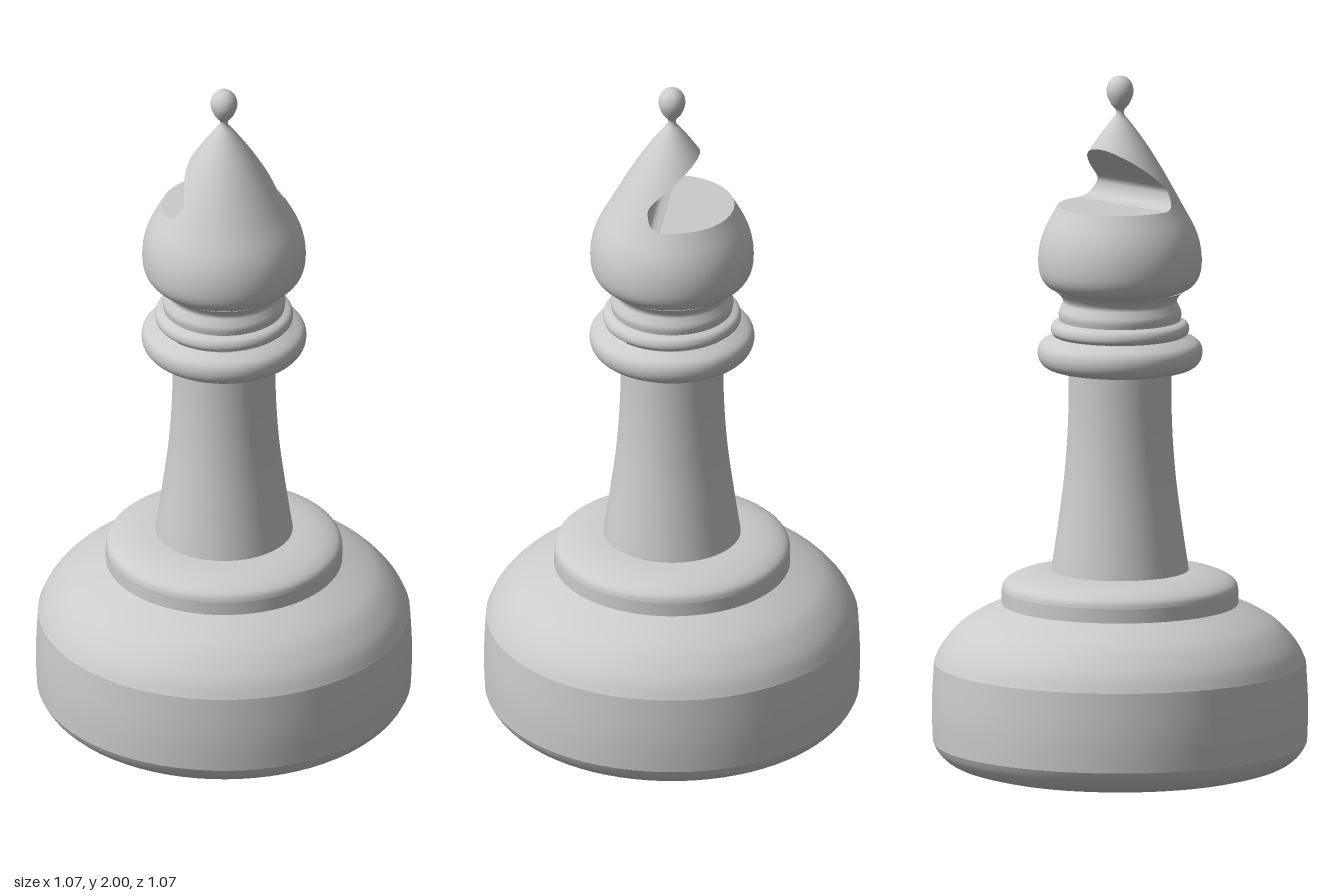
import * as THREE from 'three';
import { ParametricGeometry } from 'three/addons/geometries/ParametricGeometry.js';

const material = new THREE.MeshStandardMaterial({ color: 0xcccccc, side: THREE.DoubleSide });
const SEGMENTS = 72;

// Smooth curve through [radius, height] points
const smooth = (pts, n = 24) =>
  new THREE.SplineCurve(pts.map(([r, y]) => new THREE.Vector2(r, y))).getPoints(n)
    .map((p) => new THREE.Vector2(Math.max(p.x, 0), p.y));

export function createModel() {
  const model = new THREE.Group();
  const add = (name, geometry) => {
    const mesh = new THREE.Mesh(geometry, material);
    mesh.name = name;
    model.add(mesh);
  };
  const turn = (name, pts, n) => add(name, new THREE.LatheGeometry(smooth(pts, n), SEGMENTS));

  // Heavy base: separate lathes keep the creases sharp
  turn('baseUnderside', [[0, 0], [0.42, 0]], 2);
  turn('baseBevel', [[0.42, 0], [0.48, 0.018], [0.515, 0.045], [0.533, 0.075]], 10);
  turn('baseSide', [[0.533, 0.075], [0.536, 0.18], [0.53, 0.305]], 6);
  turn('baseShoulder', [[0.53, 0.305], [0.505, 0.355], [0.455, 0.41], [0.4, 0.445], [0.335, 0.475]]);

  // Stepped plinth
  turn('plinthSide', [[0.337, 0.47], [0.337, 0.515]], 2);
  turn('plinthTop', [[0.337, 0.515], [0.33, 0.535], [0.3, 0.553], [0.25, 0.566], [0.19, 0.572]], 16);

  // Tapered column
  turn('column', [[0.197, 0.565], [0.177, 0.7], [0.158, 0.85], [0.148, 1.0], [0.146, 1.15]]);

  // Collar and neck rings
  turn('collar', [[0.14, 1.148], [0.2, 1.155], [0.226, 1.172], [0.235, 1.2], [0.226, 1.228], [0.19, 1.25]], 30);
  turn('neckRing', [[0.185, 1.25], [0.195, 1.258], [0.197, 1.272], [0.19, 1.286], [0.172, 1.294]], 16);
  turn('neck', [[0.172, 1.292], [0.175, 1.315], [0.167, 1.335], [0.162, 1.35], [0.172, 1.368], [0.186, 1.38]], 20);

  // Head: one profile shared by the lower bowl, notched crown and tip
  const headProfile = smooth([[0.175, 1.378], [0.205, 1.392], [0.226, 1.42], [0.233, 1.46], [0.229, 1.51],
    [0.213, 1.56], [0.178, 1.625], [0.137, 1.7], [0.108, 1.75], [0.08, 1.795], [0.045, 1.845], [0.018, 1.88]], 90);
  const headRadius = (y) => {
    const i = Math.max(1, headProfile.findIndex((p) => p.y >= y));
    const a = headProfile[i - 1], b = headProfile[i];
    return THREE.MathUtils.mapLinear(y, a.y, b.y, a.x, b.x);
  };
  const headSlice = (name, y0, y1, n) => {
    const pts = Array.from({ length: n + 1 }, (_, i) => {
      const y = y0 + (y1 - y0) * i / n;
      return new THREE.Vector2(headRadius(y), y);
    });
    add(name, new THREE.LatheGeometry(pts, SEGMENTS));
  };
  const floorY = 1.625, lipY = 1.795;
  headSlice('headBowl', 1.378, floorY, 36);
  headSlice('headTip', lipY, 1.88, 14);
  turn('notchFloor', [[0.178, floorY], [0, floorY]], 2);

  // Slanted notch cut into the back: points are [z, y] of its inner wall
  const notch = new THREE.SplineCurve([[0.012, floorY], [0.038, 1.635], [0.05, 1.662], [0.044, 1.687],
    [0, 1.728], [-0.06, 1.778], [-0.08, lipY]].map(([z, y]) => new THREE.Vector2(z, y)));
  const section = (v) => {
    const { x: z, y } = notch.getPoint(v);
    const r = headRadius(y);
    return { z, y, r, cut: Math.acos(THREE.MathUtils.clamp(z / r, -1, 1)) };
  };
  add('headCrown', new ParametricGeometry((u, v, target) => {
    const { y, r, cut } = section(v);
    const a = (2 * u - 1) * cut;
    target.set(r * Math.sin(a), y, r * Math.cos(a));
  }, SEGMENTS, 32));
  add('notchWall', new ParametricGeometry((u, v, target) => {
    const { z, y, r } = section(v);
    const halfWidth = Math.sqrt(Math.max(1e-6, r * r - z * z));
    target.set((1 - 2 * u) * halfWidth, y, z);
  }, 12, 32));

  // Finial
  turn('finial', [[0.018, 1.878], [0.012, 1.89], [0.013, 1.903], [0.027, 1.92], [0.038, 1.95],
    [0.034, 1.977], [0.018, 1.995], [0, 2]], 32);

  return model;
}
